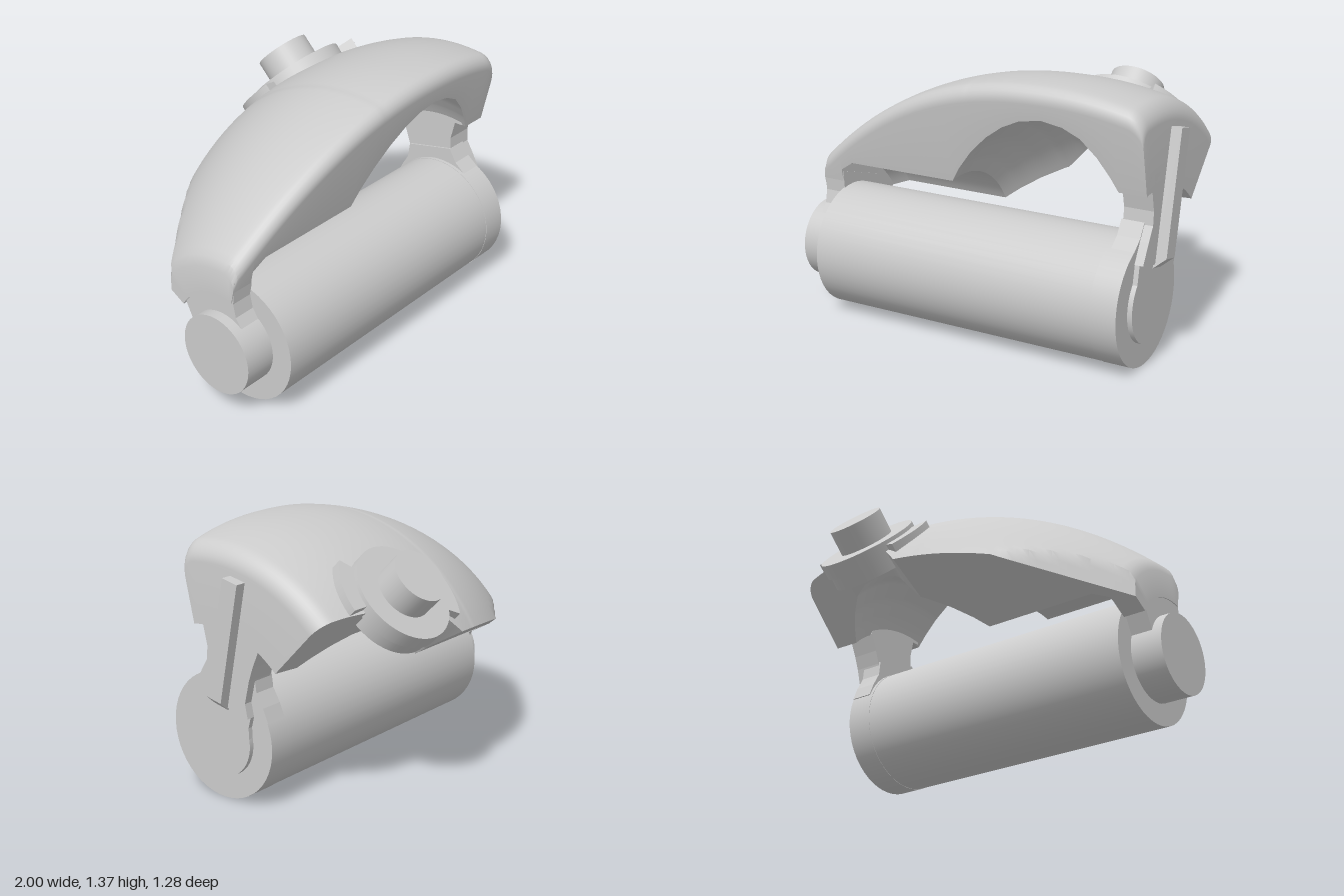
import * as THREE from 'three';
import { toCreasedNormals } from 'three/addons/utils/BufferGeometryUtils.js';

const AXIS_Y = 0.33, AXIS_Z = 0.315; // roller axis, parallel to x
const rad = THREE.MathUtils.degToRad;
const material = new THREE.MeshStandardMaterial({ color: 0xcccccc, side: THREE.DoubleSide });

function add(parent, name, geometry) {
  const mesh = new THREE.Mesh(geometry, material);
  mesh.name = name;
  parent.add(mesh);
  return mesh;
}

// Cylinder along x, on the roller axis
function drum(parent, name, r, x0, x1) {
  const g = new THREE.CylinderGeometry(r, r, x1 - x0, 48).rotateZ(Math.PI / 2);
  add(parent, name, g).position.set((x0 + x1) / 2, AXIS_Y, AXIS_Z);
}

// Side outline given as (z, y), extruded from x0 to x1
function plate(parent, name, outline, x0, x1) {
  const shape = new THREE.Shape(outline.map(([z, y]) => new THREE.Vector2(-z, y)));
  const g = new THREE.ExtrudeGeometry(shape, { depth: x1 - x0, bevelEnabled: false });
  add(parent, name, g.rotateY(Math.PI / 2).translate(x0, 0, 0));
}

function lookup(table, x) {
  for (let i = 1; i < table.length; i++) {
    const [xa, a] = table[i - 1], [xb, b] = table[i];
    if (x <= xb) return a + (b - a) * Math.max(0, (x - xa) / (xb - xa));
  }
  return table[table.length - 1][1];
}

// Underside radius along x, with the hand-sized arch in the middle
const INNER = [[-0.95, 0.3], [-0.83, 0.3], [-0.828, 0.43], [-0.75, 0.48], [-0.13, 0.48], [-0.08, 0.56],
  [0, 0.66], [0.1, 0.755], [0.2, 0.825], [0.3, 0.87], [0.42, 0.89], [0.53, 0.87], [0.62, 0.825],
  [0.7, 0.74], [0.76, 0.65], [0.8, 0.575], [0.945, 0.575]];
// Angle of the rear edge along x
const BACK = [[-0.95, 150], [0.12, 150], [0.28, 140], [0.8, 135], [0.945, 134]];

function outerRadius(x) {
  let r = 1.04 - 0.57 * (Math.abs(x - 0.4) / 1.35) ** 2.2;
  if (x > 0.865) r -= 0.08 * (1 - Math.sqrt(Math.max(0, 1 - ((x - 0.865) / 0.08) ** 2)));
  if (x < -0.93) r -= 0.03 * (-0.93 - x) / 0.02;
  return r;
}

// Wedge of a turned dome, lofted from cross-sections along x
function coverGeometry() {
  const xs = INNER.map((p) => p[0]);
  for (let x = -0.93; x < 0.86; x += 0.03) xs.push(x);
  for (let k = 0; k < 8; k++) xs.push(0.865 + 0.08 * Math.sin((k / 8) * Math.PI / 2));
  xs.sort((a, b) => a - b);
  const front = rad(78), fillet = 0.075, F = 6, N = 30;
  const pos = [], index = [];
  for (const x of xs) {
    const R = outerRadius(x), Ri = lookup(INNER, x), back = rad(lookup(BACK, x));
    const start = front + fillet / R, outer = [], inner = [];
    for (let j = 0; j <= N; j++) {
      let t, r = R;
      if (j <= F) { // rounded front edge
        const a = (j / F) * Math.PI / 2;
        t = front + fillet * (1 - Math.cos(a)) / R;
        r = R - fillet * (1 - Math.sin(a));
      } else t = start + (back - start) * (j - F) / (N - F);
      // flat cut at the rear of the narrow end
      if (x < -0.4 && Math.cos(t) < -0.1) r = Math.min(r, (0.34 + 0.727 * (x + 0.95)) / -Math.cos(t));
      const at = (q) => [x, AXIS_Y + q * Math.sin(t), AXIS_Z + q * Math.cos(t)];
      outer.push(at(r));
      inner.unshift(at(Math.min(Ri, r - 0.01)));
    }
    pos.push(...outer.flat(), ...inner.flat());
  }
  const M = 2 * (N + 1), last = (xs.length - 1) * M;
  for (let i = 0; i < xs.length - 1; i++) {
    for (let j = 0; j < M; j++) {
      const a = i * M + j, b = i * M + (j + 1) % M, c = a + M, d = b + M;
      index.push(a, c, b, b, c, d);
    }
  }
  for (let j = 0; j < N; j++) { // end faces
    const o = j, o2 = j + 1, n = M - 1 - j, n2 = M - 2 - j;
    index.push(o, o2, n, o2, n2, n);
    index.push(last + o, last + n, last + o2, last + o2, last + n, last + n2);
  }
  const g = new THREE.BufferGeometry();
  g.setAttribute('position', new THREE.Float32BufferAttribute(pos, 3));
  g.setIndex(index);
  return toCreasedNormals(g, 0.5);
}

// Curved tab beside the knob flange
function tabGeometry(a0, a1) {
  const s = new THREE.Shape();
  s.absarc(0, 0, 0.35, a0, a1, false);
  s.absarc(0, 0, 0.25, a1, a0, true);
  return new THREE.ExtrudeGeometry(s, { depth: 0.12, bevelEnabled: false, curveSegments: 12 })
    .rotateX(-Math.PI / 2).translate(0, 0.93, 0);
}

export function createModel() {
  const model = new THREE.Group();
  model.name = 'rollerTool';

  // Roller with its end collar and hubs
  drum(model, 'roller', 0.325, -0.83, 0.9);
  drum(model, 'rollerCollar', 0.327, 0.76, 0.9);
  drum(model, 'rightHub', 0.21, -1, -0.82);
  drum(model, 'leftHub', 0.205, 0.89, 0.925);

  add(model, 'cover', coverGeometry());

  // Arms joining cover and roller
  plate(model, 'leftArm', [[0.42, 0.9], [0.375, 0.9], [0.352, 0.8], [0.357, 0.73], [0.4, 0.66], [0.455, 0.56],
    [0.1, 0.475], [0.115, 0.55], [0.085, 0.67], [0.06, 0.74], [0.02, 0.83], [0.08, 0.98], [0.4, 0.98]], 0.79, 0.945);
  plate(model, 'leftArmFlare', [[0.357, 0.74], [0.4, 0.67], [0.45, 0.63], [0.5, 0.59], [0.315, 0.33],
    [0.01, 0.46], [0.04, 0.53], [0.08, 0.6], [0.09, 0.68]], 0.78, 0.9);
  plate(model, 'leftHubNeck', [[0.45, 0.56], [0.1, 0.475], [0.115, 0.42], [0.112, 0.33], [0.518, 0.33],
    [0.505, 0.4], [0.47, 0.46]], 0.89, 0.925);
  plate(model, 'rightArm', [[0.395, 0.74], [0.385, 0.62], [0.4, 0.55], [0.45, 0.48], [0.315, 0.33],
    [0.12, 0.4], [0.08, 0.48], [0.05, 0.54], [0.1, 0.65]], -0.945, -0.825);

  // Raised rail on the left side, tapered at its foot
  const railShape = new THREE.Shape([[-0.01, -0.37], [0.055, -0.315], [0.055, 0.31], [-0.01, 0.31]]
    .map(([x, y]) => new THREE.Vector2(x, y)));
  const rail = add(model, 'sideRail', new THREE.ExtrudeGeometry(railShape, { depth: 0.094, bevelEnabled: false })
    .translate(0, 0, -0.047));
  rail.position.set(0.945, 0.86, 0.203);
  rail.rotation.x = -0.21;

  // Knob leaning back from the cover
  const knob = new THREE.Group();
  knob.name = 'knob';
  knob.position.set(0.425, AXIS_Y, AXIS_Z);
  knob.rotation.x = -Math.PI / 4;
  for (const [name, r, y0, y1] of [['knobBoss', 0.25, 0.92, 1], ['knobFlange', 0.265, 0.99, 1.07],
    ['knobStem', 0.145, 1.05, 1.205]]) {
    add(knob, name, new THREE.CylinderGeometry(r, r, y1 - y0, 48).translate(0, (y0 + y1) / 2, 0));
  }
  add(knob, 'rightTab', tabGeometry(rad(146), rad(198)));
  add(knob, 'leftTab', tabGeometry(rad(-48), rad(0)));
  model.add(knob);
  return model;
}
